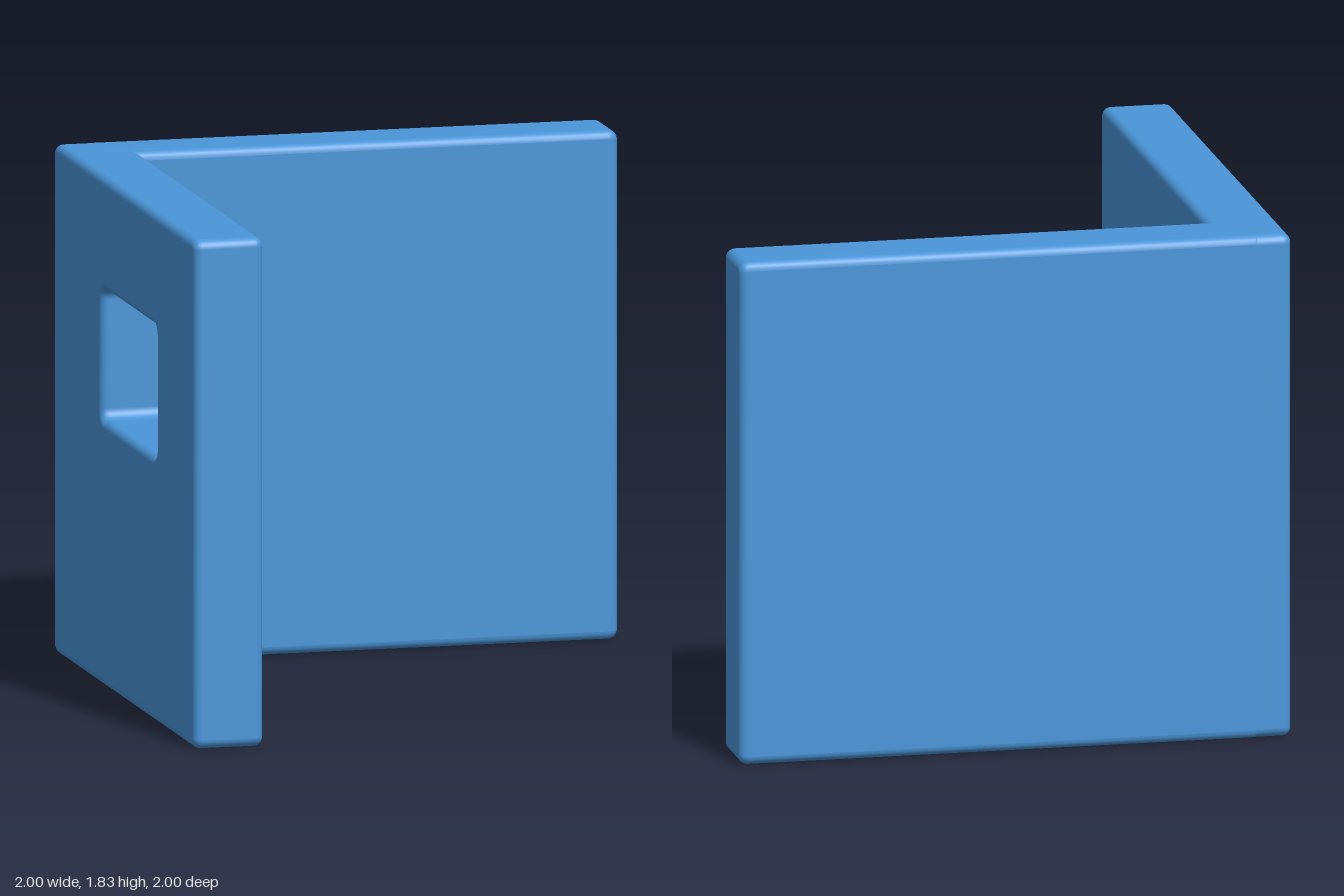
import * as THREE from 'three';
import { mergeVertices } from 'three/addons/utils/BufferGeometryUtils.js';

const HEIGHT = 1.83, THICK = 0.255, EDGE = 0.03;

// Traces a rectangle with rounded corners onto a shape or path
function roundedRect(path, x0, y0, x1, y1, r) {
  path.moveTo(x0 + r, y0);
  path.lineTo(x1 - r, y0);
  path.absarc(x1 - r, y0 + r, r, -Math.PI / 2, 0);
  path.lineTo(x1, y1 - r);
  path.absarc(x1 - r, y1 - r, r, 0, Math.PI / 2);
  path.lineTo(x0 + r, y1);
  path.absarc(x0 + r, y1 - r, r, Math.PI / 2, Math.PI);
  path.lineTo(x0, y0 + r);
  path.absarc(x0 + r, y0 + r, r, Math.PI, Math.PI * 1.5);
  return path;
}

// Area-weighted smooth normals: flat faces with softly rounded edges
function smooth(geometry) {
  geometry.deleteAttribute('uv');
  geometry.deleteAttribute('normal');
  const merged = mergeVertices(geometry, 1e-5);
  merged.computeVertexNormals();
  return merged;
}

// Upright slab with rounded edges, filling z = 0..THICK
function wallGeometry(u0, u1, hole) {
  const shape = roundedRect(new THREE.Shape(), u0, 0, u1, HEIGHT, EDGE + 0.005);
  if (hole) shape.holes.push(hole);
  const geometry = new THREE.ExtrudeGeometry(shape, {
    depth: THICK - 2 * EDGE, bevelThickness: EDGE, bevelSize: EDGE,
    bevelOffset: -EDGE, bevelSegments: 5, curveSegments: 6,
  });
  geometry.translate(0, 0, EDGE);
  return smooth(geometry);
}

export function createModel() {
  const group = new THREE.Group();
  const material = new THREE.MeshStandardMaterial({ color: 0x4a96d9 });
  const add = (name, geometry) => {
    const mesh = new THREE.Mesh(geometry, material);
    mesh.name = name;
    group.add(mesh);
    return mesh;
  };

  // Solid wall along the back, its hidden end buried in the corner
  add('backWall', wallGeometry(-0.9, 1)).position.z = -1;

  // Side wall with a window opening
  const opening = roundedRect(new THREE.Path(), -0.33, 0.955, 0.46, 1.425, 0.04);
  const side = wallGeometry(-1, 1, opening);
  side.rotateY(-Math.PI / 2);
  add('windowWall', side).position.x = -1 + THICK;

  // Small concave fillet in the inner corner
  const r = 0.03;
  const fillet = new THREE.Shape();
  fillet.moveTo(0, 0);
  fillet.lineTo(r, 0);
  fillet.absarc(r, r, r, -Math.PI / 2, -Math.PI, true);
  const cove = new THREE.ExtrudeGeometry(fillet, {
    depth: HEIGHT - 2 * EDGE, bevelEnabled: false, curveSegments: 6,
  });
  cove.rotateX(Math.PI / 2);
  add('innerCorner', cove).position.set(-1 + THICK, HEIGHT - EDGE, -1 + THICK);

  return group;
}
